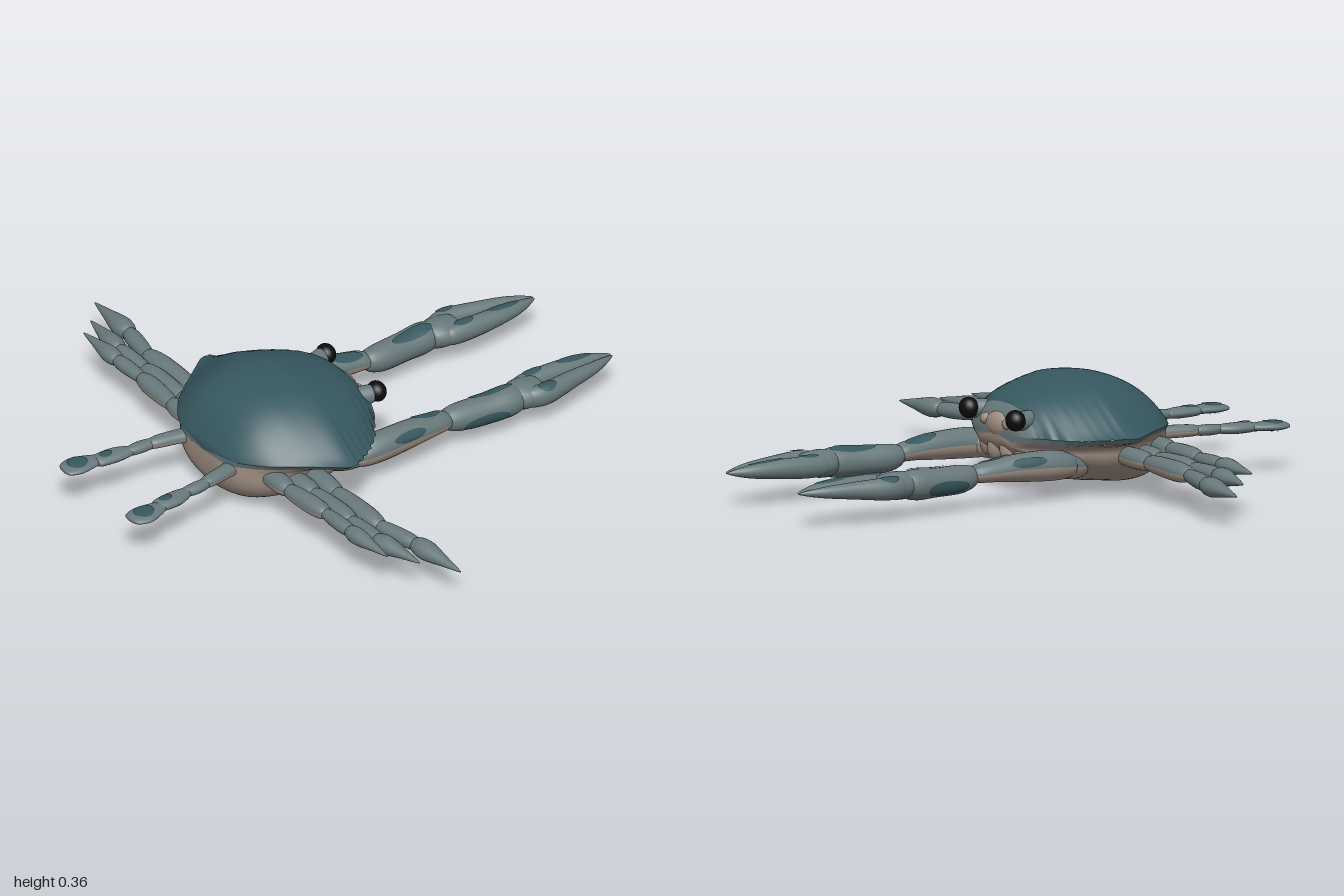
import * as THREE from 'three';
import { mergeVertices } from 'three/addons/utils/BufferGeometryUtils.js';

const material = (name, color) => {
  const m = new THREE.MeshStandardMaterial({ color });
  m.name = name;
  return m;
};

// Smooth interpolation through rows of numbers, t from 0 to 1
function sample(rows, t) {
  const n = rows.length - 1;
  const i = Math.min(Math.floor(t * n), n - 1), f = t * n - i;
  const a = rows[Math.max(i - 1, 0)], b = rows[i], c = rows[i + 1], d = rows[Math.min(i + 2, n)];
  return b.map((_, k) => {
    const m0 = (c[k] - a[k]) / 2, m1 = (d[k] - b[k]) / 2, f2 = f * f, f3 = f2 * f;
    return (2 * f3 - 3 * f2 + 1) * b[k] + (f3 - 2 * f2 + f) * m0 + (3 * f2 - 2 * f3) * c[k] + (f3 - f2) * m1;
  });
}

// Surface from fn(u, v) -> [x, y, z]; with two materials each takes half of v
function surface(name, fn, nu, nv, mats) {
  const pos = [], index = [];
  for (let j = 0; j <= nv; j++) for (let i = 0; i <= nu; i++) pos.push(...fn(i / nu, j / nv));
  for (let j = 0; j < nv; j++) for (let i = 0; i < nu; i++) {
    const a = j * (nu + 1) + i, b = a + 1, c = a + nu + 1, d = c + 1;
    index.push(a, b, c, b, d, c);
  }
  let g = new THREE.BufferGeometry();
  g.setAttribute('position', new THREE.Float32BufferAttribute(pos, 3));
  g.setIndex(index);
  g = mergeVertices(g, 1e-5);
  if (Array.isArray(mats)) {
    g.addGroup(0, index.length / 2, 0);
    g.addGroup(index.length / 2, index.length / 2, 1);
  }
  g.computeVertexNormals();
  const mesh = new THREE.Mesh(g, mats);
  mesh.name = name;
  return mesh;
}

// Limb segment surface; rows are [x, y, z, half width, half height]
function limbPoint(rows, t, angle, lift = 0) {
  const [x, y, z, w, h] = sample(rows, t);
  const p = rows[0], q = rows[rows.length - 1];
  const dx = q[0] - p[0], dz = q[2] - p[2], len = Math.hypot(dx, dz);
  const round = Math.sqrt(Math.max(0, 1 - Math.abs(2 * t - 1) ** 10));
  const s = (w * round + lift) * Math.cos(angle);
  return [x - (dz / len) * s, y + (h * round + lift) * Math.sin(angle), z + (dx / len) * s];
}

export function createModel() {
  const shellMat = material('darkTealShell', 0x36575f);
  const greyMat = material('blueGrey', 0x68797b);
  const bellyMat = material('warmBeige', 0xa08f83);
  const eyeMat = material('black', 0x0b0b0b);
  const crab = new THREE.Group();
  crab.name = 'crab';

  // Body rows: [z, shell half width, rim y, top y, belly half width, belly y]
  const body = [
    [-0.06, 0, 0.2, 0.2, 0, 0.2],
    [-0.055, 0.11, 0.205, 0.235, 0.08, 0.17],
    [-0.035, 0.17, 0.205, 0.275, 0.13, 0.14],
    [0, 0.22, 0.205, 0.31, 0.17, 0.105],
    [0.05, 0.29, 0.205, 0.334, 0.22, 0.08],
    [0.12, 0.355, 0.21, 0.353, 0.255, 0.055],
    [0.19, 0.4, 0.215, 0.368, 0.27, 0.032],
    [0.225, 0.408, 0.215, 0.37, 0.275, 0.027],
    [0.28, 0.37, 0.215, 0.367, 0.275, 0.02],
    [0.35, 0.315, 0.215, 0.353, 0.265, 0.011],
    [0.42, 0.26, 0.212, 0.318, 0.23, 0.014],
    [0.47, 0.2, 0.207, 0.27, 0.185, 0.04],
    [0.5, 0.14, 0.2, 0.225, 0.13, 0.08],
    [0.51, 0.07, 0.195, 0.205, 0.07, 0.13],
    [0.512, 0, 0.18, 0.18, 0, 0.18],
  ];
  const row = (t) => {
    const r = sample(body, t);
    // small teeth along the front side edges
    if (r[0] > 0 && r[0] < 0.2) r[1] += 0.006 * Math.sin(r[0] * 200);
    return r;
  };
  const dome = (t, v) => {
    const [z, w, e, top] = row(t), u = v * 2 - 1;
    const q = 0.6 + (w / 0.41) ** 2;
    return [w * u, e + (top - e) * Math.max(0, 1 - Math.abs(u) ** 2.6) ** q, z];
  };
  const split = 2.5 / 14;
  crab.add(surface('carapace', (u, v) => dome(split + u * (1 - split), v), 72, 48, shellMat));
  crab.add(surface('brow', (u, v) => dome(u * split, v), 14, 48, greyMat));
  for (const side of [1, -1]) {
    // grey lip under the shell edge
    crab.add(surface('shellRim', (u, v) => {
      const [z, w, e] = row(u), k = side > 0 ? v : 1 - v;
      return [side * w * (1 - 0.07 * k), e - 0.02 * k * Math.min(1, w / 0.1), z];
    }, 84, 3, greyMat));
  }
  crab.add(surface('belly', (u, v) => {
    const [z, w, e, , b, bot] = row(u);
    const lip = [w * 0.93, e - 0.02 * Math.min(1, w / 0.1)];
    const s = Math.abs(v * 2 - 1), sign = v < 0.5 ? 1 : -1;
    const y0 = Math.max(bot, Math.min(0.165, lip[1]));
    if (s > 0.85) {
      const k = (s - 0.85) / 0.15;
      return [sign * (b + (lip[0] - b) * k), y0 + (lip[1] - y0) * k, z];
    }
    const a = (s / 0.85) * Math.PI / 2;
    return [sign * b * Math.sin(a), y0 - (y0 - bot) * Math.cos(a) ** 0.8, z];
  }, 72, 40, bellyMat));

  const ball = (name, mat, p, r, tilt = 0) => {
    const mesh = new THREE.Mesh(new THREE.SphereGeometry(1, 24, 16), mat);
    mesh.name = name;
    mesh.position.set(...p);
    mesh.scale.set(...r);
    mesh.rotation.z = tilt;
    crab.add(mesh);
  };
  // Face between the eyes
  ball('rostrum', bellyMat, [0, 0.225, -0.04], [0.065, 0.042, 0.028]);

  for (const side of [1, -1]) {
    const limb = (name, rows, under = greyMat, patches = []) => {
      const pts = rows.map(([x, ...rest]) => [x * side, ...rest]);
      const group = new THREE.Group();
      group.name = name;
      group.add(surface(name + 'Segment', (u, v) => limbPoint(pts, (1 - Math.cos(u * Math.PI)) / 2, v * Math.PI * 2),
        20, 20, under === greyMat ? greyMat : [greyMat, under]));
      // dark blotches lying on the segment: [t, angle, t radius, angle radius]
      for (const [t, a, rt, ra] of patches) {
        const mid = side > 0 ? a : Math.PI - a;
        group.add(surface('blotch', (u, v) => {
          const th = v * Math.PI * 2;
          return limbPoint(pts, t + rt * u * Math.cos(th), mid + ra * u * Math.sin(th), 0.003);
        }, 5, 20, shellMat));
      }
      crab.add(group);
    };

    // Eyes and mouth
    limb('eyeStalk', [[0.115, 0.25, 0.02, 0.035, 0.035], [0.138, 0.257, -0.055, 0.03, 0.03]]);
    ball('eye', eyeMat, [side * 0.138, 0.26, -0.066], [0.036, 0.034, 0.031]);
    ball('browTooth', bellyMat, [side * 0.065, 0.235, -0.045], [0.025, 0.02, 0.02]);
    ball('mouthPlate', bellyMat, [side * 0.037, 0.145, -0.025], [0.034, 0.045, 0.03], side * 0.25);
    ball('cheekPlate', bellyMat, [side * 0.1, 0.15, -0.01], [0.04, 0.045, 0.03], side * 0.4);

    // Claw arm
    limb('clawShoulder', [[0.15, 0.1, 0.17, 0.04, 0.035], [0.2, 0.11, 0.1, 0.055, 0.045], [0.235, 0.125, 0, 0.045, 0.04]], bellyMat);
    limb('clawUpperArm', [[0.225, 0.115, 0.1, 0.05, 0.04], [0.237, 0.125, 0, 0.048, 0.05], [0.233, 0.128, -0.13, 0.047, 0.045],
      [0.228, 0.125, -0.22, 0.044, 0.034], [0.22, 0.12, -0.29, 0.04, 0.03]], bellyMat, [[0.7, 1.9, 0.17, 0.55], [0.45, 0.5, 0.13, 0.35]]);
    limb('clawPalm', [[0.216, 0.115, -0.265, 0.035, 0.033], [0.219, 0.11, -0.33, 0.047, 0.046], [0.228, 0.11, -0.43, 0.05, 0.047],
      [0.234, 0.112, -0.51, 0.053, 0.05], [0.235, 0.115, -0.57, 0.042, 0.036]], greyMat, [[0.6, 1.9, 0.24, 0.45], [0.45, -0.3, 0.22, 0.5]]);
    limb('clawHand', [[0.228, 0.115, -0.52, 0.045, 0.04], [0.228, 0.115, -0.57, 0.065, 0.045], [0.228, 0.115, -0.64, 0.06, 0.036]]);
    limb('innerFinger', [[0.188, 0.115, -0.56, 0.032, 0.035], [0.187, 0.117, -0.66, 0.034, 0.036], [0.189, 0.12, -0.77, 0.032, 0.03],
      [0.195, 0.121, -0.86, 0.022, 0.02], [0.208, 0.121, -0.93, 0.005, 0.005]], greyMat, [[0.58, 1.5, 0.17, 0.5], [0.2, 1.6, 0.08, 0.5]]);
    limb('outerFinger', [[0.262, 0.115, -0.55, 0.028, 0.034], [0.274, 0.117, -0.63, 0.034, 0.037], [0.256, 0.12, -0.75, 0.028, 0.028],
      [0.24, 0.121, -0.85, 0.019, 0.018], [0.217, 0.121, -0.93, 0.005, 0.005]], greyMat, [[0.24, 1.25, 0.08, 0.6]]);

    // Walking legs: y and then [x, z, half thickness] at each joint
    const legs = [
      [0.135, 0.12, [[0.18, 0.27, 0.036], [0.4, 0.275, 0.036], [0.63, 0.275, 0.028], [0.79, 0.24, 0.032], [1, 0.22, 0]]],
      [0.13, 0.135, [[0.18, 0.34, 0.036], [0.36, 0.335, 0.034], [0.56, 0.335, 0.028], [0.71, 0.335, 0.03], [0.9, 0.308, 0]]],
      [0.15, 0.152, [[0.15, 0.4, 0.034], [0.32, 0.405, 0.032], [0.5, 0.392, 0.025], [0.64, 0.392, 0.027], [0.83, 0.385, 0]]],
    ];
    for (const [yBase, yTip, joints] of legs) {
      for (let i = 0; i < 4; i++) {
        const [x0, z0, r] = joints[i], [x1, z1] = joints[i + 1];
        const at = (k, w) => [x0 + (x1 - x0) * k, yBase + (yTip - yBase) * (i + k) / 4, z0 + (z1 - z0) * k, w, w * 0.9];
        const rows = i === 3
          ? [at(-0.08, r * 0.8), at(0.2, r * 1.1), at(0.6, r * 0.6), at(1, 0.003)]
          : [at(-0.06, r * 0.75), at(0.3, r * 0.95), at(0.75, r), at(1.06, r * 0.7)];
        limb(['legBase', 'legThigh', 'legShin', 'legTip'][i], rows, i < 2 ? bellyMat : greyMat);
      }
    }

    // Swimming legs with flat paddles
    limb('swimLegBase', [[0.1, 0.16, 0.42, 0.035, 0.028], [0.125, 0.165, 0.5, 0.028, 0.022], [0.142, 0.165, 0.58, 0.026, 0.02],
      [0.148, 0.163, 0.62, 0.018, 0.016]], bellyMat);
    limb('swimLegShin', [[0.148, 0.163, 0.6, 0.018, 0.016], [0.152, 0.162, 0.65, 0.024, 0.018], [0.153, 0.161, 0.7, 0.017, 0.015]]);
    limb('swimLegFoot', [[0.153, 0.161, 0.68, 0.02, 0.014], [0.163, 0.16, 0.74, 0.034, 0.018], [0.167, 0.159, 0.815, 0.03, 0.016]],
      greyMat, [[0.72, 1.5, 0.13, 0.5]]);
    limb('paddle', [[0.172, 0.159, 0.785, 0.018, 0.012], [0.178, 0.159, 0.83, 0.036, 0.014], [0.183, 0.158, 0.88, 0.047, 0.014],
      [0.183, 0.157, 0.928, 0.034, 0.009]], greyMat, [[0.62, Math.PI / 2, 0.22, 0.75], [0.62, -Math.PI / 2, 0.22, 0.75]]);
  }
  return crab;
}
